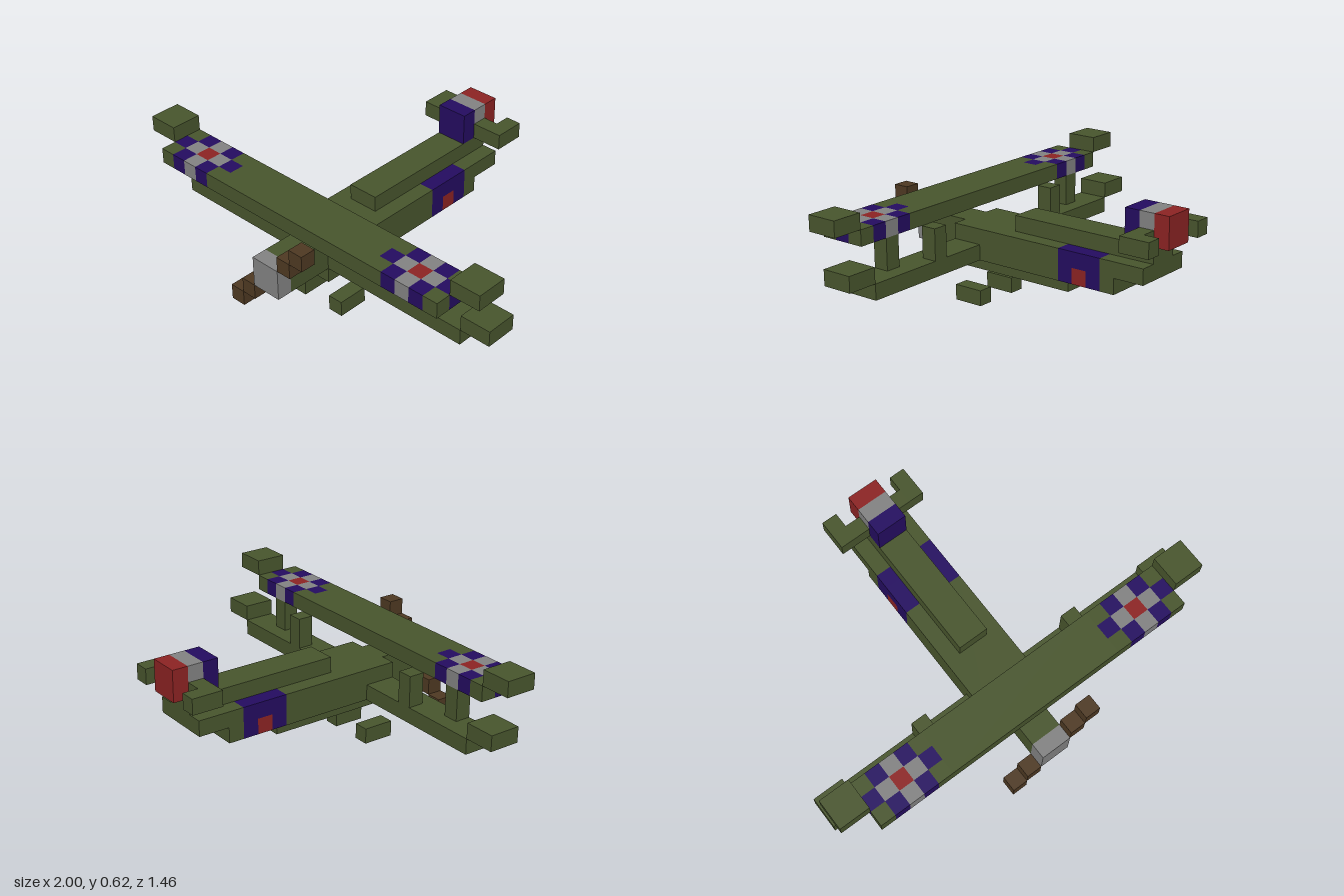
import * as THREE from 'three';

const U = 1 / 13; // edge of one block

const paint = (name, color) => {
  const m = new THREE.MeshStandardMaterial({ color });
  m.name = name;
  return m;
};

export function createModel() {
  const model = new THREE.Group();
  model.name = 'biplane';
  const green = paint('olive green', 0x48552d);
  const grey = paint('grey', 0x828282);
  const blue = paint('dark blue', 0x240c60);
  const red = paint('red', 0x8c2323);
  const brown = paint('brown', 0x4e3922);

  // Box between block coordinates [min, max] on each axis
  const box = (name, mat, [x0, x1], [y0, y1], [z0, z1]) => {
    const geo = new THREE.BoxGeometry((x1 - x0) * U, (y1 - y0) * U, (z1 - z0) * U);
    const mesh = new THREE.Mesh(geo, mat);
    mesh.position.set((x0 + x1) / 2 * U, (y0 + y1) / 2 * U, (z0 + z1) / 2 * U);
    mesh.name = name;
    model.add(mesh);
  };
  // Same box on both sides of the centre line
  const pair = (name, mat, [x0, x1], y, z) => {
    box(name + 'Left', mat, [x0, x1], y, z);
    box(name + 'Right', mat, [-x1, -x0], y, z);
  };

  // Fuselage
  box('nose', green, [-1, 1], [3, 5], [5.5, 8.5]);
  box('fuselage', green, [-2, 2], [3, 5], [-2.5, 5.5]);
  box('fuselageCore', green, [-1, 1], [3, 5], [-5.5, -2.5]);
  box('tailUnderside', green, [-2, 2], [3, 4], [-6.5, -5.5]);
  box('tailBoom', green, [-2, 2], [4, 5], [-8.5, -5.5]);
  box('belly', green, [-1, 1], [2, 3], [-2.5, 5.5]);
  box('spine', green, [-1, 1], [5, 6], [-8.5, 1.5]);

  // Side markings
  pair('sideMarkRear', blue, [1, 2], [3, 5], [-5.5, -4.5]);
  pair('sideMarkFront', blue, [1, 2], [3, 5], [-3.5, -2.5]);
  pair('sideMarkTop', blue, [1, 2], [4, 5], [-4.5, -3.5]);
  pair('sideMarkCentre', red, [1, 2], [3, 4], [-4.5, -3.5]);

  // Propeller
  box('propellerHub', grey, [-1, 1], [3, 5], [8.5, 9.5]);
  for (const [x, y] of [[1, 5], [2, 6], [-2, 2], [-3, 1]]) {
    box('propellerBlade', brown, [x, x + 1], [y, y + 1], [8.5, 9.5]);
  }

  // Wings with raised tips
  box('lowerWing', green, [-11, 11], [3, 4], [3.5, 5.5]);
  pair('lowerWingTip', green, [11, 13], [4, 5], [3.5, 5.5]);
  box('upperWing', green, [-6, 6], [6, 7], [4.5, 7.5]);
  pair('upperWingTip', green, [11, 13], [7, 8], [4.5, 6.5]);

  // Roundels set into the outer upper wing
  const key = { o: green, b: blue, w: grey, r: red };
  ['obwbo', 'bwrwb', 'obwbo'].forEach((row, j) => {
    [...row].forEach((c, i) => {
      pair('roundel', key[c], [6 + i, 7 + i], [6, 7], [4.5 + j, 5.5 + j]);
    });
  });

  // Wing struts
  pair('outerStrut', green, [8, 9], [4, 6], [4.5, 5.5]);
  pair('innerStrut', green, [5, 6], [4, 6], [3.5, 4.5]);

  // Wheels
  pair('wheel', green, [1, 2], [0, 1], [3.5, 5.5]);

  // Striped fin and tailplane
  [red, grey, blue].forEach((mat, i) => {
    box('finStripe', mat, [-1, 1], [6, 8], [-9.5 + i, -8.5 + i]);
  });
  pair('tailplane', green, [1, 2], [6, 7], [-8.5, -7.5]);
  pair('tailplaneTip', green, [2, 3], [6, 7], [-9.5, -7.5]);

  return model;
}
